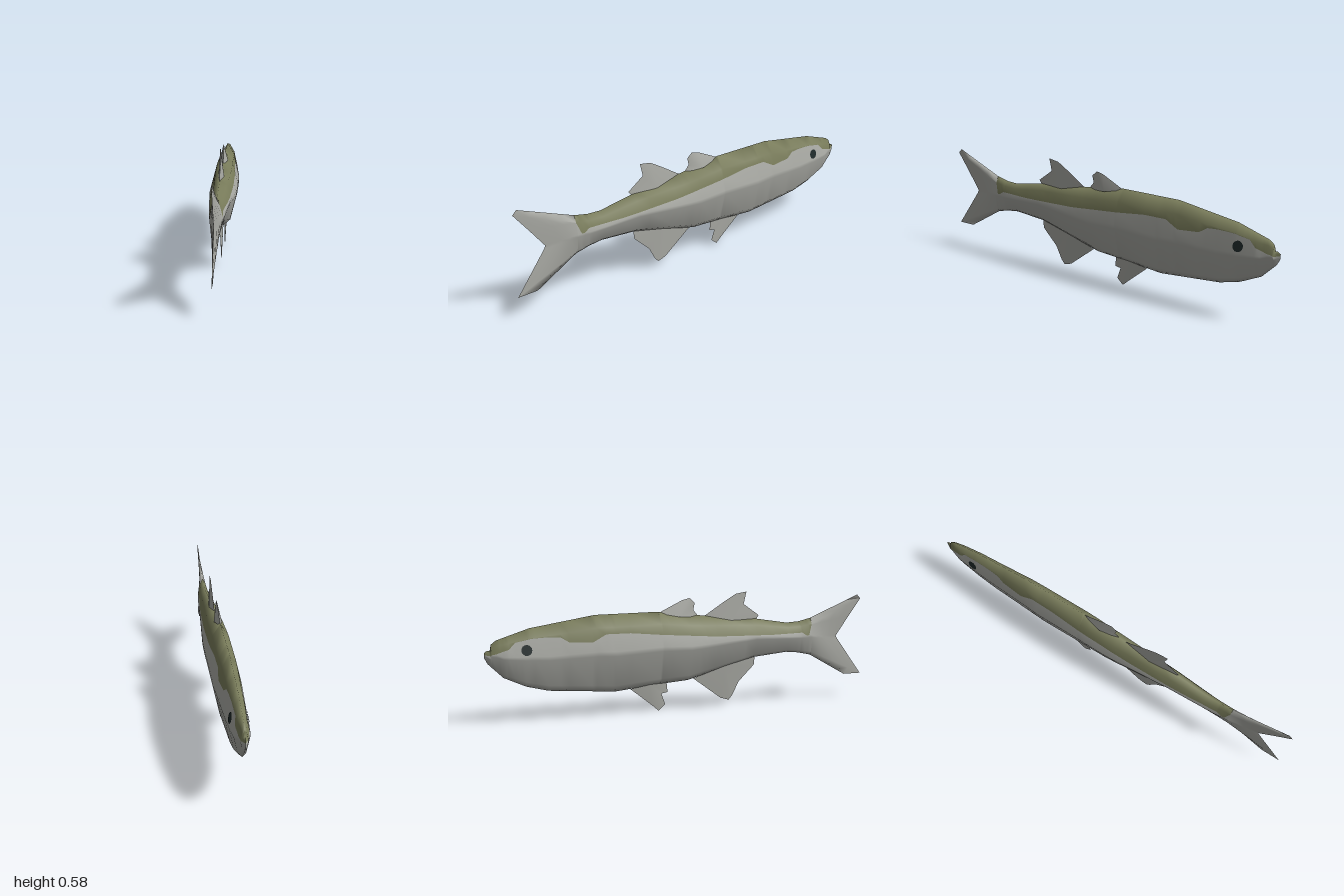
import * as THREE from 'three';

const mat = (name, color, side = THREE.FrontSide) => {
  const m = new THREE.MeshStandardMaterial({ color, side });
  m.name = name;
  return m;
};

// piecewise linear lookup in [position, value] pairs
function lerpTable(table, t) {
  if (t <= table[0][0]) return table[0][1];
  for (let i = 1; i < table.length; i++) {
    const [a, va] = table[i - 1], [b, vb] = table[i];
    if (t <= b) return va + (vb - va) * (t - a) / (b - a);
  }
  return table[table.length - 1][1];
}

// outlines along z (the head points to -z)
const TOP = [[-1, 0.335], [-0.985, 0.345], [-0.974, 0.343], [-0.968, 0.372], [-0.945, 0.39], [-0.79, 0.44],
  [-0.475, 0.49], [-0.155, 0.493], [0.085, 0.465], [0.36, 0.44], [0.55, 0.41], [0.62, 0.414], [0.69, 0.43]];
const BOTTOM = [[-1, 0.312], [-0.985, 0.283], [-0.915, 0.214], [-0.81, 0.166], [-0.705, 0.139], [-0.38, 0.112],
  [-0.145, 0.134], [0, 0.144], [0.36, 0.24], [0.55, 0.257], [0.62, 0.25], [0.69, 0.235]];
const WIDTH = [[-1, 0], [-0.97, 0.016], [-0.9, 0.035], [-0.8, 0.043], [-0.4, 0.065], [-0.1, 0.068],
  [0.05, 0.066], [0.3, 0.052], [0.6, 0.035], [0.69, 0.027]];
// height of the wavy edge of the dark back
const EDGE = [[-1, 0.325], [-0.97, 0.32], [-0.93, 0.335], [-0.89, 0.348], [-0.86, 0.385], [-0.83, 0.4], [-0.77, 0.4],
  [-0.65, 0.395], [-0.61, 0.37], [-0.5, 0.364], [-0.43, 0.4], [-0.31, 0.4], [-0.15, 0.385], [0.14, 0.363],
  [0.46, 0.355], [0.63, 0.357], [0.655, 0.33], [0.67, 0.335], [0.69, 0.405]];
// relative half width over relative height
const SECTION = [[0, 0], [0.09, 0.5], [0.48, 1], [0.54, 1], [0.84, 0.58], [1, 0]];

// half width of the body at a point of its side
function sideX(z, y) {
  const b = lerpTable(BOTTOM, z), t = lerpTable(TOP, z);
  return lerpTable(WIDTH, z) * lerpTable(SECTION, (y - b) / (t - b));
}

// mirrors one side, given bottom to top, into a closed ring
const closeRing = (half) => [...half, ...half.slice(1, -1).reverse().map(([x, y, z]) => [-x, y, z])];

function halfRing(z) {
  const b = lerpTable(BOTTOM, z), h = lerpTable(TOP, z) - b;
  const edge = THREE.MathUtils.clamp((lerpTable(EDGE, z) - b) / h, 0.55, 0.83);
  return [0, 0.09, 0.48, 0.54, edge, 0.84, 1].map((f) => [sideX(z, b + f * h), b + f * h, z]);
}

// skin over rings; segments chosen by isBack go to the second material
function loft(rings, isBack = () => false) {
  const n = rings[0].length, light = [], dark = [];
  for (let i = 0; i < rings.length - 1; i++) {
    for (let j = 0; j < n; j++) {
      const k = (j + 1) % n;
      const a = i * n + j, b = i * n + k, c = b + n, d = a + n;
      (isBack(j) ? dark : light).push(a, b, c, a, c, d);
    }
  }
  const g = new THREE.BufferGeometry();
  g.setAttribute('position', new THREE.Float32BufferAttribute(rings.flat(2), 3));
  g.setIndex([...light, ...dark]);
  g.addGroup(0, light.length, 0);
  g.addGroup(light.length, dark.length, 1);
  g.computeVertexNormals();
  return g;
}

// thin fin: each side is a fan from a point at its root to the [z, y] outline
function finSide(outline, root, thickness, side) {
  const pos = [side * thickness, root[1], root[0]], index = [];
  outline.forEach(([z, y]) => pos.push(0, y, z));
  for (let i = 1; i < outline.length; i++) index.push(0, ...(side > 0 ? [i, i + 1] : [i + 1, i]));
  const g = new THREE.BufferGeometry();
  g.setAttribute('position', new THREE.Float32BufferAttribute(pos, 3));
  g.setIndex(index);
  g.computeVertexNormals();
  return g;
}

export function createModel() {
  const fish = new THREE.Group();
  fish.name = 'fish';
  const silver = mat('silver', 0xadaea8);
  const finSilver = silver;
  silver.side = THREE.DoubleSide;
  const olive = mat('olive', 0x7b7e5c);
  const black = mat('eyeBlack', 0x1f2a2a);

  const add = (name, geometry, material, parent = fish) => {
    const mesh = new THREE.Mesh(geometry, material);
    mesh.name = name;
    parent.add(mesh);
    return mesh;
  };

  // body with stations at every bend of the outlines
  const stations = [...new Set([TOP, BOTTOM, WIDTH, EDGE].flat().map(([z]) => z))].sort((a, b) => a - b);
  const bodyHalves = stations.map(halfRing);
  add('body', loft(bodyHalves.map(closeRing), (j) => j >= 4 && j <= 7), [silver, olive]);

  // forked tail: the last body section flattens out to the trailing edge
  const base = bodyHalves[bodyHalves.length - 1];
  const trailing = [[0.9, 0.118], [1, 0.118], [0.855, 0.31], [0.845, 0.328], [0.92, 0.43], [0.99, 0.522], [0.97, 0.543]];
  const tailRings = [0, 0.25, 0.5, 0.75, 1].map((u) => closeRing(base.map(([x, y, z], i) => [
    x * Math.pow(1 - u, 1.3),
    y + (trailing[i][1] - y) * u,
    z + (trailing[i][0] - z) * u,
  ])));
  add('tailFin', loft(tailRings), silver);

  // fins on the centre line
  const fins = [
    ['frontDorsalFin', [-0.05, 0.465], 0.02,
      [[-0.155, 0.485], [-0.1, 0.512], [-0.03, 0.545], [0.01, 0.555], [0.038, 0.53], [0.03, 0.495], [0.06, 0.46]]],
    ['rearDorsalFin', [0.23, 0.43], 0.014,
      [[0.085, 0.46], [0.2, 0.533], [0.26, 0.568], [0.32, 0.578], [0.305, 0.515], [0.39, 0.455], [0.37, 0.43]]],
    ['analFin', [0.2, 0.205], 0.009,
      [[0.03, 0.15], [0.18, 0.04], [0.225, 0.027], [0.245, 0.05], [0.28, 0.118], [0.365, 0.2], [0.37, 0.245]]],
    ['pelvicFin', [-0.2, 0.135], 0.007,
      [[-0.3, 0.118], [-0.19, 0.03], [-0.155, 0], [-0.12, 0.03], [-0.14, 0.085], [-0.107, 0.09], [-0.112, 0.14]]],
  ];
  for (const [name, root, thickness, outline] of fins) {
    const fin = new THREE.Group();
    fin.name = name;
    fish.add(fin);
    add(name + 'Left', finSide(outline, root, thickness, 1), finSilver, fin);
    add(name + 'Right', finSide(outline, root, thickness, -1), finSilver, fin);
  }

  // eyes: discs laid onto the sides of the head
  for (const side of [1, -1]) {
    const g = new THREE.CircleGeometry(0.025, 16);
    g.rotateY(side * Math.PI / 2);
    g.translate(0, 0.342, -0.81);
    const p = g.attributes.position;
    for (let i = 0; i < p.count; i++) p.setX(i, side * (sideX(p.getZ(i), p.getY(i)) + 0.003));
    g.computeVertexNormals();
    add(side > 0 ? 'leftEye' : 'rightEye', g, black);
  }
  return fish;
}
